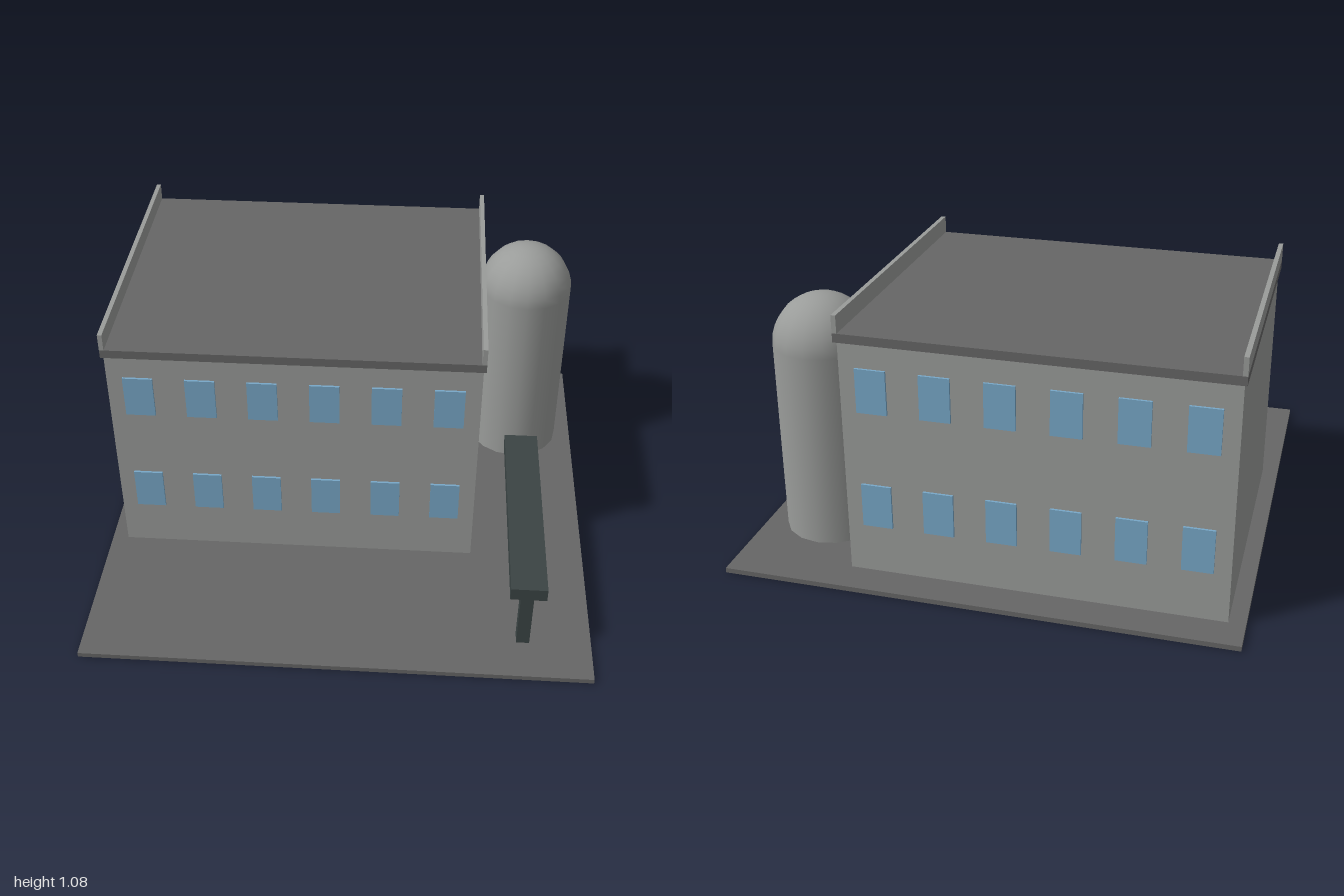
import * as THREE from 'three';

const mat = (name, color) => {
  const m = new THREE.MeshStandardMaterial({ color });
  m.name = name;
  return m;
};

export function createModel() {
  const group = new THREE.Group();
  const concrete = mat('concrete grey', 0x9a9c9a);
  const slab = mat('dark slab grey', 0x666666);
  const glass = mat('window blue', 0x78a8c8);
  const steel = mat('dark steel', 0x3b4444);

  // Box given by its minimum and maximum on each axis
  const box = (name, material, [x0, x1], [y0, y1], [z0, z1], parent = group) => {
    const mesh = new THREE.Mesh(new THREE.BoxGeometry(x1 - x0, y1 - y0, z1 - z0), material);
    mesh.position.set((x0 + x1) / 2, (y0 + y1) / 2, (z0 + z1) / 2);
    mesh.name = name;
    parent.add(mesh);
    return mesh;
  };

  // Ground plate
  box('groundPlate', slab, [-1, 1], [0, 0.02], [-1, 1]);

  // Main hall with overhanging roof and two side parapets
  box('hallWalls', concrete, [-0.935, 0.53], [0.02, 0.97], [-0.863, 0.335]);
  box('roofSlab', slab, [-0.945, 0.54], [0.97, 1.005], [-0.878, 0.348]);
  box('rightParapet', concrete, [-0.945, -0.927], [1.005, 1.075], [-0.878, 0.348]);
  box('leftParapet', concrete, [0.522, 0.54], [1.005, 1.075], [-0.878, 0.348]);

  // Two rows of six windows on the front and back walls
  const windows = new THREE.Group();
  windows.name = 'windows';
  group.add(windows);
  for (const [side, z] of [['front', 0.3395], ['back', -0.8675]]) {
    for (const y of [0.309, 0.784]) {
      for (let i = 0; i < 6; i++) {
        const x = -0.2025 + (i - 2.5) * 0.244;
        box(side + 'Window', glass, [x - 0.059, x + 0.059], [y - 0.088, y + 0.088],
          [z - 0.0048, z + 0.0048], windows);
      }
    }
  }

  // Domed silo
  const silo = new THREE.Group();
  silo.name = 'silo';
  silo.position.set(0.7325, 0, -0.535);
  const r = 0.198;
  const body = new THREE.Mesh(new THREE.CylinderGeometry(r, r, 0.8, 16, 1, true), concrete);
  body.name = 'siloBody';
  body.position.y = 0.42;
  const dome = new THREE.Mesh(
    new THREE.SphereGeometry(r, 16, 8, Math.PI / 2, Math.PI * 2, 0, Math.PI / 2), concrete);
  dome.name = 'siloDome';
  dome.position.y = 0.82;
  silo.add(body, dome);
  group.add(silo);

  // Pipe rack: cantilevered beam on two posts
  const rack = new THREE.Group();
  rack.name = 'pipeRack';
  group.add(rack);
  box('rackBeam', steel, [0.663, 0.802], [0.295, 0.348], [-0.068, 0.866], rack);
  for (const z of [0.402, 0.802]) {
    box('rackPost', steel, [0.707, 0.758], [0.02, 0.295], [z - 0.026, z + 0.026], rack);
  }

  return group;
}
